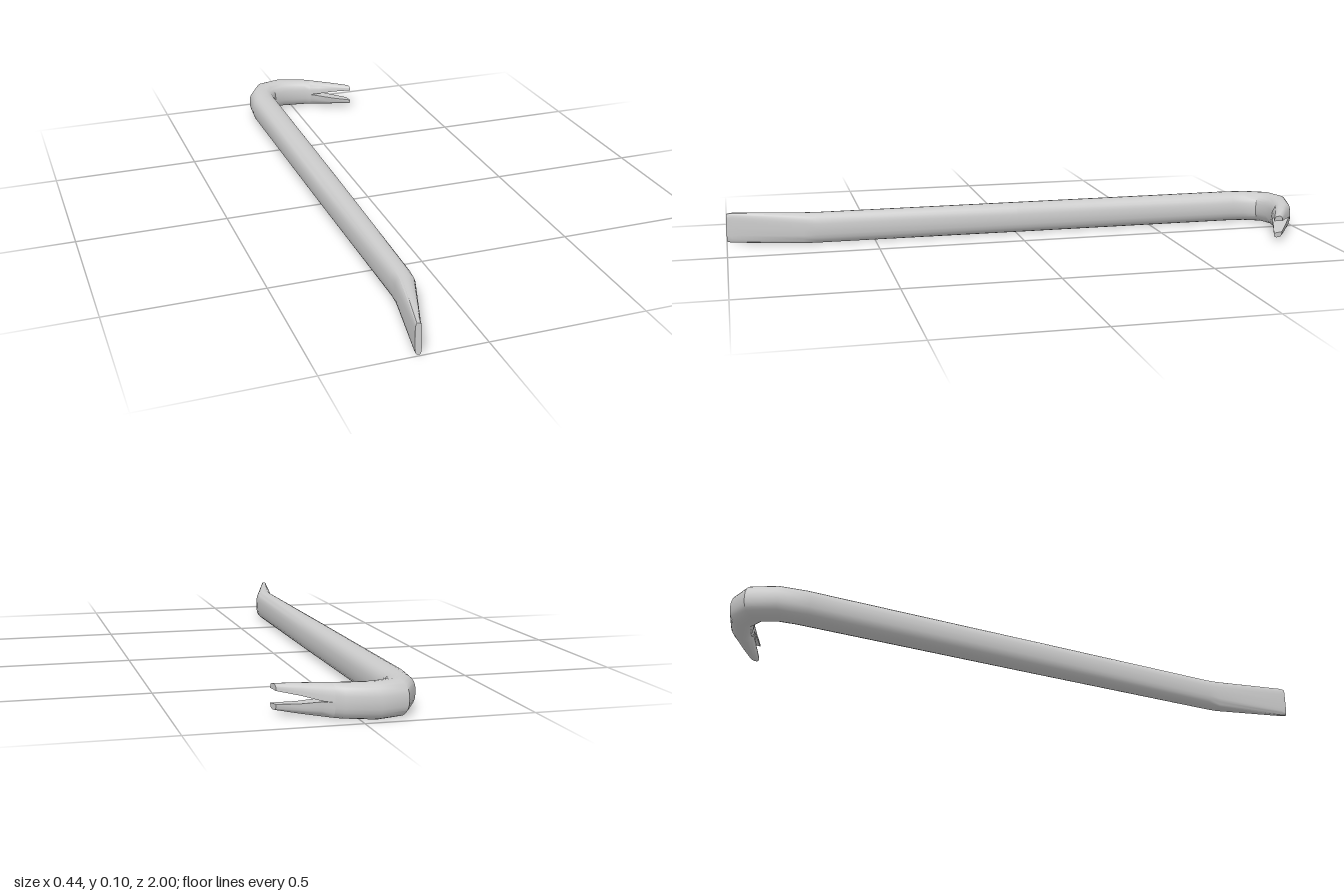
import * as THREE from 'three';
import { toCreasedNormals } from 'three/addons/utils/BufferGeometryUtils.js';

const MID_Y = 0.0525;
const SEGMENTS = 24;

// Joins rings of points into a closed skin, with optional end caps
function loft(rings, capStart, capEnd) {
  const n = rings[0].length;
  const positions = rings.flat().flatMap((p) => p.toArray());
  const index = [];
  for (let i = 0; i < rings.length - 1; i++) {
    for (let j = 0; j < n; j++) {
      const a = i * n + j, b = i * n + (j + 1) % n;
      index.push(a, a + n, b, b, a + n, b + n);
    }
  }
  const cap = (i, flip) => {
    const centre = new THREE.Vector3();
    rings[i].forEach((p) => centre.addScaledVector(p, 1 / n));
    const c = positions.length / 3;
    positions.push(...centre.toArray());
    for (let j = 0; j < n; j++) {
      const a = i * n + j, b = i * n + (j + 1) % n;
      index.push(c, flip ? b : a, flip ? a : b);
    }
  };
  if (capStart) cap(0, false);
  if (capEnd) cap(rings.length - 1, true);
  const geometry = new THREE.BufferGeometry();
  geometry.setAttribute('position', new THREE.Float32BufferAttribute(positions, 3));
  geometry.setIndex(index);
  return toCreasedNormals(geometry.toNonIndexed(), 0.7);
}

const power = (v, n) => Math.sign(v) * Math.pow(Math.abs(v), 2 / n);

// Rounded section between an outer and an inner point; side picks one half for a prong
function section({ out, inn, h, n, gap = 0, bevel = 0 }, side = 0) {
  const count = side ? SEGMENTS / 2 + 1 : SEGMENTS;
  const start = side < 0 ? Math.PI : 0;
  return Array.from({ length: count }, (_, j) => {
    const t = start + (j / SEGMENTS) * Math.PI * 2;
    const u = power(Math.cos(t), n);
    const v = power(Math.sin(t), n);
    const k = (u + 1) / 2;
    const g = gap + bevel * k;
    const y = side ? side * (g + (h - g) * Math.abs(v)) : h * v;
    return new THREE.Vector3(
      out[0] + (inn[0] - out[0]) * k,
      MID_Y + y,
      out[1] + (inn[1] - out[1]) * k
    );
  });
}

export function createModel() {
  const group = new THREE.Group();
  const material = new THREE.MeshStandardMaterial({ color: 0xcccccc });
  const add = (name, geometry) => {
    const mesh = new THREE.Mesh(geometry, material);
    mesh.name = name;
    group.add(mesh);
  };

  // Where the hook splits into the claw
  const split = { out: [0.07, -0.957], inn: [0.07, -0.89], h: 0.049, n: 2.5 };

  // Chisel tip, bend, long shaft and hook
  const stations = [
    { out: [-0.22, 0.993], inn: [-0.202, 1.0], h: 0.05, n: 4 },
    { out: [-0.218, 0.975], inn: [-0.197, 0.98], h: 0.0525, n: 4 },
    { out: [-0.181, 0.735], inn: [-0.119, 0.745], h: 0.0525, n: 3 },
    { out: [-0.18, 0.69], inn: [-0.113, 0.7], h: 0.0525, n: 2.6 },
    { out: [-0.19, 0], inn: [-0.102, 0], h: 0.0525, n: 2.5 },
    { out: [-0.196, -0.79], inn: [-0.096, -0.81], h: 0.0525, n: 2.5 },
    { out: [-0.185, -0.89], inn: [-0.092, -0.85], h: 0.0525, n: 2.5 },
    { out: [-0.135, -0.978], inn: [-0.076, -0.89], h: 0.0525, n: 2.5 },
    { out: [-0.05, -1.0], inn: [-0.032, -0.91], h: 0.0525, n: 2.5 },
    { out: [0.045, -0.971], inn: [0.05, -0.897], h: 0.05, n: 2.5 },
    split,
  ];
  add('bar', loft(stations.map((s) => section(s)), true, false));

  // Claw prongs either side of the V notch
  const prong = [
    split,
    { out: [0.1, -0.937], inn: [0.102, -0.877], h: 0.047, n: 2.5, gap: 0.001, bevel: 0.004 },
    { out: [0.15, -0.904], inn: [0.154, -0.857], h: 0.043, n: 2.6, gap: 0.011, bevel: 0.003 },
    { out: [0.212, -0.862], inn: [0.22, -0.829], h: 0.037, n: 3, gap: 0.019, bevel: 0.002 },
  ];
  for (const [name, side] of [['upperProng', 1], ['lowerProng', -1]]) {
    add(name, loft(prong.map((s) => section(s, side)), false, true));
  }

  return group;
}
